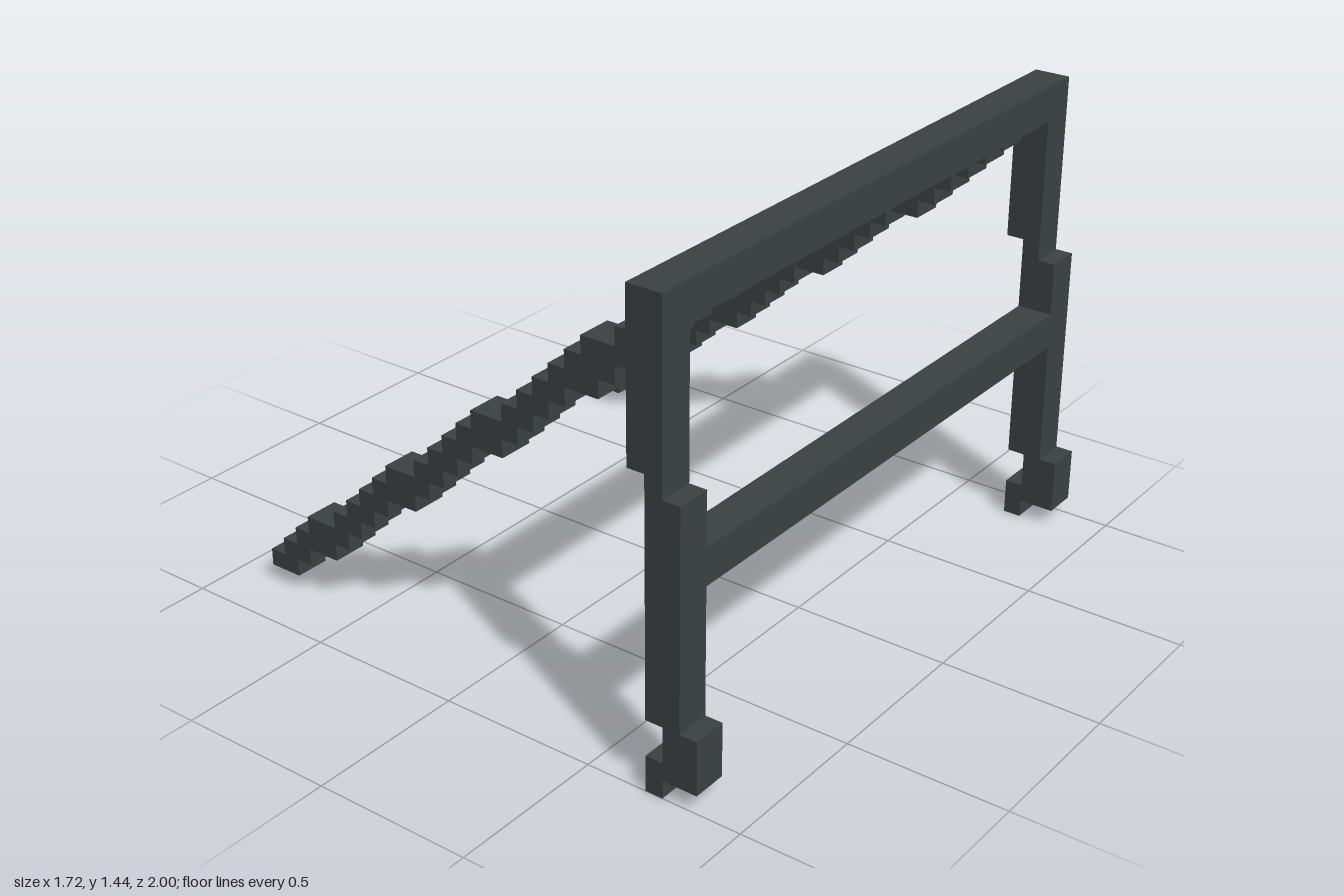
import * as THREE from 'three';

const U = 1 / 18; // one block of the grid

// Top and bottom height of the stepped brace, block column by block column
const TOPS = [2, 3, 4, 5, 5, 6, 7, 8, 9, 10, 10, 11, 12, 13, 14, 15, 15, 16, 17, 18, 19, 20, 21, 21, 22, 23, 24, 24];
const BOTTOMS = [1, 1, 2, 3, 3, 4, 5, 6, 7, 8, 8, 9, 10, 11, 12, 13, 13, 14, 15, 16, 17, 18, 18, 19, 20, 21, 22, 23];

const px = (i) => (i - 15.5) * U;

// Stepped edge from column heights, dropping points where the height stays the same
function steps(heights) {
  const points = [];
  heights.forEach((h, i) => {
    if (h !== heights[i - 1]) points.push(new THREE.Vector2(px(i), h * U));
    if (h !== heights[i + 1]) points.push(new THREE.Vector2(px(i + 1), h * U));
  });
  return points;
}

// Extrudes a side outline between two depths given in blocks
function slab(name, points, z0, z1, material) {
  const geometry = new THREE.ExtrudeGeometry(new THREE.Shape(points), {
    depth: (z1 - z0) * U,
    bevelEnabled: false,
  });
  const mesh = new THREE.Mesh(geometry, material);
  mesh.name = name;
  mesh.position.z = z0 * U;
  return mesh;
}

// Box between block coordinates, with z measured from the centre
function bar(name, x0, x1, y0, y1, z0, z1, material) {
  const mesh = new THREE.Mesh(new THREE.BoxGeometry((x1 - x0) * U, (y1 - y0) * U, (z1 - z0) * U), material);
  mesh.name = name;
  mesh.position.set((px(x0) + px(x1)) / 2, ((y0 + y1) / 2) * U, ((z0 + z1) / 2) * U);
  return mesh;
}

export function createModel() {
  const model = new THREE.Group();
  model.name = 'bracedFrame';
  const darkMetal = new THREE.MeshStandardMaterial({ color: 0x3c4242 });
  darkMetal.name = 'darkMetal';

  // Leg outline: upper post, offset lower post, foot and toe
  const leg = [
    [28, 0], [29, 0], [29, 1], [31, 1], [31, 4], [30, 4], [30, 16], [29, 16], [29, 26],
    [27, 26], [27, 17], [28, 17], [28, 4], [29, 4], [29, 2], [28, 2],
  ].map(([x, y]) => new THREE.Vector2(px(x), y * U));

  // Stepped diagonal brace
  const brace = [...steps(BOTTOMS), ...steps(TOPS).reverse()];

  for (const [side, s] of [['front', 1], ['back', -1]]) {
    model.add(slab(side + 'Leg', leg, s > 0 ? 16 : -18, s > 0 ? 18 : -16, darkMetal));
    model.add(slab(side + 'Brace', brace, s > 0 ? 13 : -15, s > 0 ? 15 : -13, darkMetal));
  }

  // Rails joining the two legs
  model.add(bar('topRail', 27, 29, 24, 26, -16, 16, darkMetal));
  model.add(bar('middleRail', 28, 30, 11, 13, -16, 16, darkMetal));

  return model;
}
